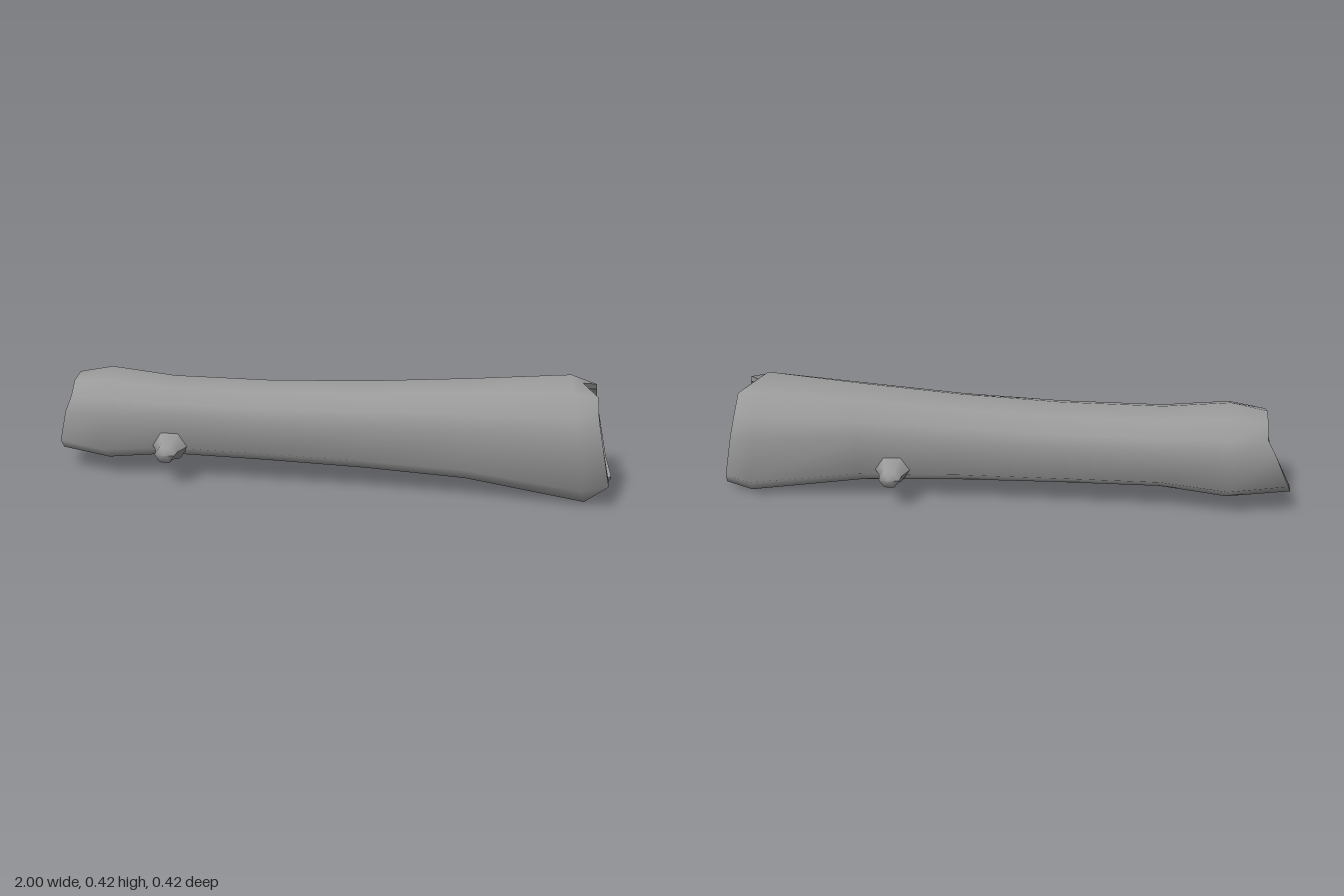
import * as THREE from 'three';

// Closed twelve-sided ring; xs is one x or an x for each corner (top, down +z, bottom, up -z).
// shoulder is the height share of the corner beside the top.
function ring(xs, bottom, top, halfWidth, shoulder = 0.935) {
  const half = [[0.54, shoulder], [0.89, shoulder - 0.17], [1, 0.565], [1, 0.155], [0.57, 0]];
  const mirrored = half.map(([u, v]) => [-u, v]).reverse();
  return [[0, 1], ...half, [0, 0], ...mirrored].map(([u, v], i) => new THREE.Vector3(
    Array.isArray(xs) ? xs[i] : xs, bottom + v * (top - bottom), u * halfWidth));
}

// Smooth skin through a list of rings
function loft(rings) {
  const n = rings[0].length, index = [];
  for (let i = 0; i < rings.length - 1; i++) {
    for (let j = 0; j < n; j++) {
      const a = i * n + j, b = i * n + (j + 1) % n;
      index.push(a, b, a + n, b, b + n, a + n);
    }
  }
  const geometry = new THREE.BufferGeometry().setFromPoints(rings.flat());
  geometry.setIndex(index);
  geometry.computeVertexNormals();
  return geometry;
}

export function createModel() {
  const group = new THREE.Group();
  const material = new THREE.MeshStandardMaterial({ color: 0x999999 });
  const add = (name, geometry) => {
    const mesh = new THREE.Mesh(geometry, material);
    mesh.name = name;
    group.add(mesh);
    return mesh;
  };

  // Broken, uneven edges of the two open ends
  const narrowEdge = [-0.905, -0.905, -0.905, -0.925, -0.95, -0.96, -0.98, -1, -0.985, -0.935, -0.905, -0.905];
  const wideEdge = [0.88, 0.93, 0.935, 0.95, 0.98, 0.935, 0.968, 1, 0.98, 0.95, 0.935, 0.93];
  // Fullest part of the wide end leans slightly
  const flare = [0.84, 0.85, 0.86, 0.87, 0.89, 0.905, 0.905, 0.905, 0.89, 0.87, 0.86, 0.85];

  const outer = [
    ring(narrowEdge, 0.075, 0.345, 0.118),
    ring(-0.78, 0.055, 0.37, 0.155, 0.91),
    ring(-0.55, 0.078, 0.347, 0.136, 0.91),
    ring(-0.2, 0.075, 0.347, 0.136, 0.91),
    ring(0.15, 0.068, 0.362, 0.136, 0.91),
    ring(0.5, 0.055, 0.388, 0.15, 0.91),
    ring(flare, 0, 0.418, 0.174, 0.905),
    ring(wideEdge, 0.02, 0.39, 0.15),
  ];
  // The hollow tapers evenly from the wide mouth and opens again at the narrow end
  const inner = [
    ring(narrowEdge, 0.088, 0.33, 0.104),
    ring(-0.78, 0.08, 0.342, 0.128),
    ring(-0.55, 0.085, 0.323, 0.098),
    ring(-0.2, 0.085, 0.323, 0.098),
    ring(0.15, 0.077, 0.336, 0.107),
    ring(0.5, 0.067, 0.351, 0.118),
    ring(wideEdge, 0.037, 0.372, 0.132),
  ];

  add('bark', loft(outer));
  add('hollow', loft([...inner].reverse()));
  add('wideRim', loft([outer.at(-1), inner.at(-1)]));
  add('narrowRim', loft([inner[0], outer[0]]));

  // Six-sided branch stub, wide at the root and drooping a little to the tip
  const profile = [[0.067, -0.016], [0.062, 0.005], [0.04, 0.04], [0.036, 0.068], [0, 0.074]]
    .map(([r, h]) => new THREE.Vector2(r, h));
  const stub = new THREE.LatheGeometry(profile, 6, Math.PI / 2).rotateX(Math.PI / 2).scale(1, 0.85, 1);
  const p = stub.attributes.position;
  for (let i = 0; i < p.count; i++) p.setY(i, p.getY(i) - 0.2 * Math.max(0, p.getZ(i)));
  stub.computeVertexNormals();

  add('frontStub', stub).position.set(-0.537, 0.128, 0.134);
  const back = add('backStub', stub);
  back.position.set(0.38, 0.128, -0.138);
  back.rotation.y = Math.PI;

  return group;
}
